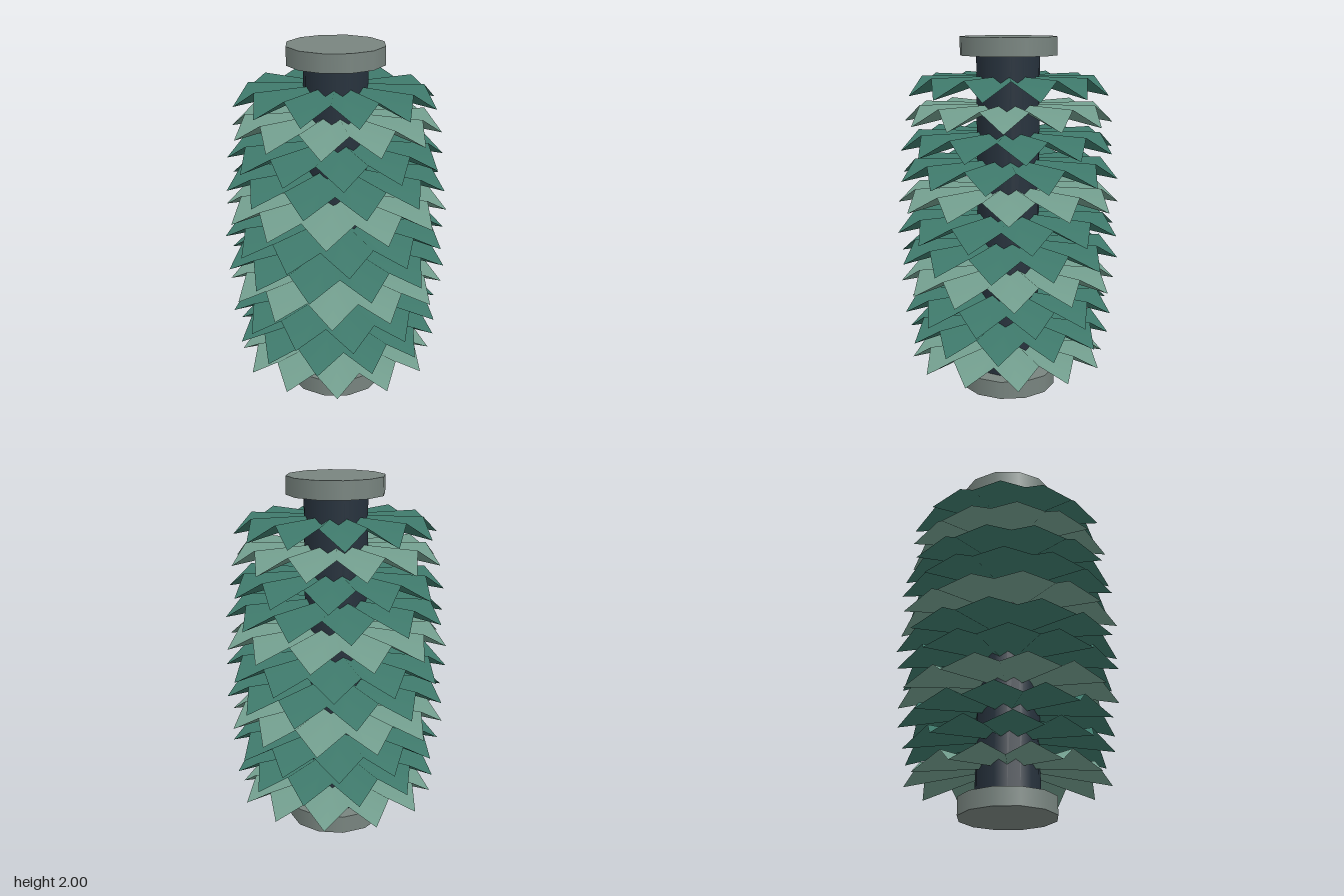
import * as THREE from 'three';

const TIERS = 11;
const POINTS = 12;

// Pleated star: flat ridges run to the notches, grooves fall to the drooping tips
function pleatedStar(tipRadius, notchRadius, drop) {
  const positions = [0, 0, 0];
  const index = [];
  const n = POINTS * 2;
  for (let i = 0; i < n; i++) {
    const a = (i / n) * Math.PI * 2;
    const isTip = i % 2 === 1;
    const r = isTip ? tipRadius : notchRadius;
    positions.push(Math.cos(a) * r, isTip ? -drop : 0, Math.sin(a) * r);
    index.push(0, 1 + ((i + 1) % n), 1 + i);
  }
  const g = new THREE.BufferGeometry();
  g.setAttribute('position', new THREE.Float32BufferAttribute(positions, 3));
  g.setIndex(index);
  g.computeVertexNormals();
  return g;
}

export function createModel() {
  const material = (name, color, side = THREE.FrontSide) => {
    const m = new THREE.MeshStandardMaterial({ color, side });
    m.name = name;
    return m;
  };
  const darkGreen = material('darkGreen', 0x3f7a6c, THREE.DoubleSide);
  const paleGreen = material('paleGreen', 0x739f8f, THREE.DoubleSide);
  const grey = material('grey', 0x78847f);
  const navy = material('navy', 0x27323d);

  const model = new THREE.Group();
  model.name = 'leafColumn';
  const add = (name, geometry, mat, y) => {
    const mesh = new THREE.Mesh(geometry, mat);
    mesh.name = name;
    mesh.position.y = y;
    model.add(mesh);
    return mesh;
  };

  // Central shaft and end caps
  add('shaft', new THREE.CylinderGeometry(0.175, 0.175, 1.84, 16), navy, 1);
  const cap = new THREE.CylinderGeometry(0.27, 0.27, 0.1, 12);
  add('bottomCap', cap, grey, 0.05);
  add('topCap', cap, grey, 1.95);

  // Leaf tiers, swelling at mid height and twisting upward; every third is pale
  for (let k = 0; k < TIERS; k++) {
    const t = k / (TIERS - 1);
    const r = 0.555 + 0.07 * Math.sin(Math.PI * t);
    const tier = add('leafTier' + (k + 1), pleatedStar(r, r * 0.85, 0.1),
      k % 3 === 0 ? paleGreen : darkGreen, 0.27 + 1.52 * t);
    tier.rotation.y = -0.19 * k;
  }
  return model;
}
